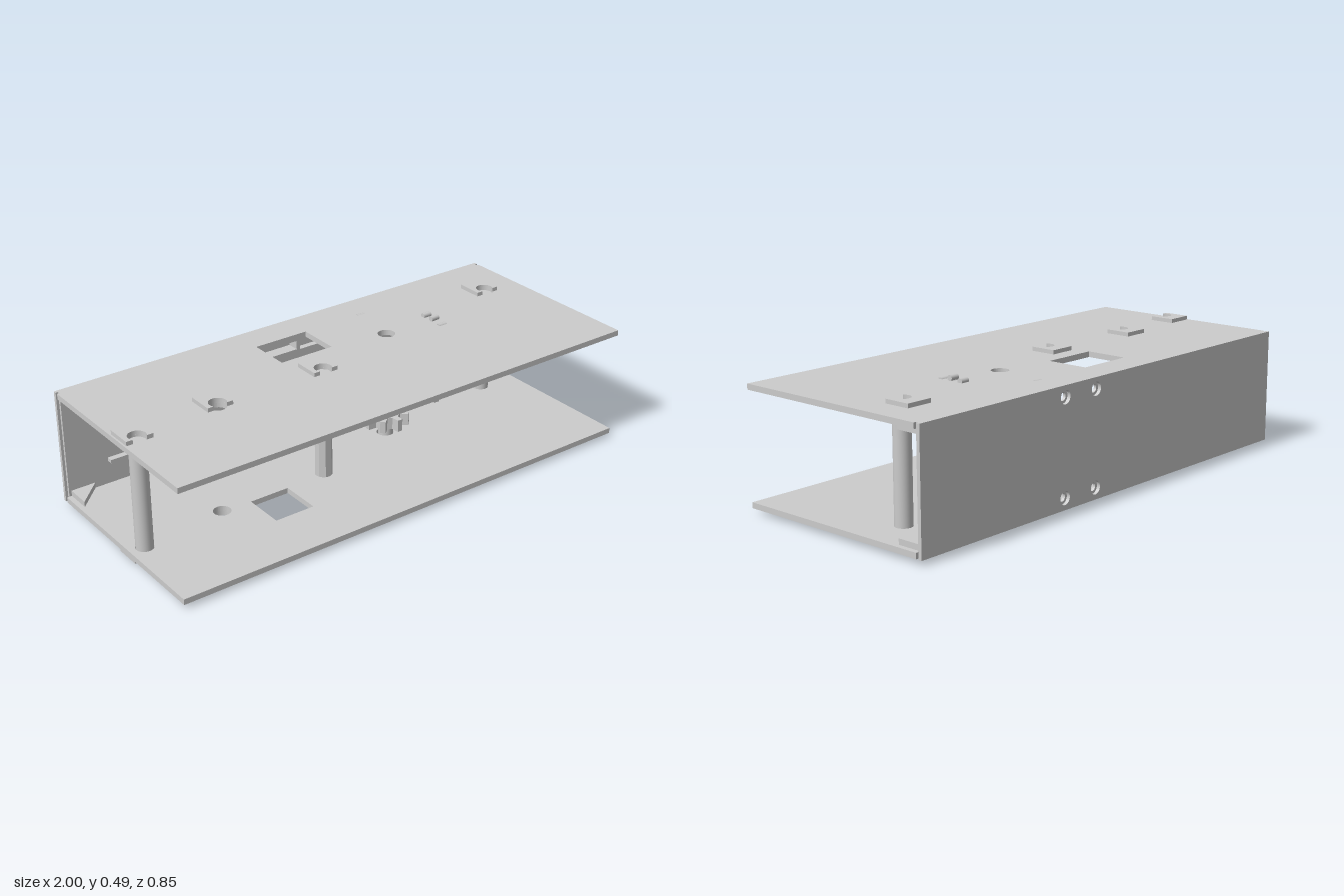
import * as THREE from 'three';

const mat = new THREE.MeshStandardMaterial({ color: 0xcccccc });

function add(parent, name, geo, x = 0, y = 0, z = 0) {
  const m = new THREE.Mesh(geo, mat);
  m.name = name;
  m.position.set(x, y, z);
  parent.add(m);
  return m;
}

// box given by its two extreme corners
function slab(parent, name, x0, x1, y0, y1, z0, z1) {
  return add(parent, name, new THREE.BoxGeometry(x1 - x0, y1 - y0, z1 - z0),
    (x0 + x1) / 2, (y0 + y1) / 2, (z0 + z1) / 2);
}

// smooth rod between two values on one axis
function rod(parent, name, axis, r, a, b, x, y, z, sides = 28) {
  const g = new THREE.CylinderGeometry(r, r, b - a, sides);
  if (axis === 'x') g.rotateZ(Math.PI / 2);
  if (axis === 'z') g.rotateX(Math.PI / 2);
  const m = add(parent, name, g, x, y, z);
  m.position[axis] = (a + b) / 2;
  return m;
}

const rect = (C, x0, x1, y0, y1) => {
  const s = new C();
  s.moveTo(x0, y0); s.lineTo(x1, y0); s.lineTo(x1, y1); s.lineTo(x0, y1); s.closePath();
  return s;
};
const circle = (x, y, r) => new THREE.Path().absarc(x, y, r, 0, Math.PI * 2, true);
const extrude = (shape, depth) =>
  new THREE.ExtrudeGeometry(shape, { depth, bevelEnabled: false, curveSegments: 20 });
// extrusion of an (x, z) outline lying flat, from y = 0 down to -depth
const flat = (shape, depth) => extrude(shape, depth).rotateX(Math.PI / 2);

// toothed wheel outline with a bore; land is the tip width as a share of the pitch
function gearShape(teeth, root, tip, land, bore) {
  const s = new THREE.Shape(), p = Math.PI * 2 / teeth, pts = [];
  for (let i = 0; i < teeth; i++) {
    for (const [f, r] of [[-0.28, root], [-land / 2, tip], [land / 2, tip], [0.28, root]]) {
      const a = (i + f) * p;
      pts.push(new THREE.Vector2(Math.cos(a) * r, Math.sin(a) * r));
    }
  }
  s.setFromPoints(pts);
  if (bore) s.holes.push(circle(0, 0, bore));
  return s;
}

// wheel turning about x with a ring of rollers seated between its teeth
function sprocket(parent, name, teeth, r, bore, width, x, y, z) {
  const g = new THREE.Group();
  g.name = name;
  g.position.set(x, y, z);
  const wheel = extrude(gearShape(teeth, r * 0.84, r * 0.98, 0.08, bore), width * 0.6);
  add(g, 'wheel', wheel.translate(0, 0, -width * 0.3).rotateY(Math.PI / 2));
  for (let i = 0; i < teeth; i++) {
    const a = (i + 0.5) * Math.PI * 2 / teeth;
    rod(g, 'roller', 'x', 0.011, -width / 2, width / 2, 0, Math.sin(a) * r, Math.cos(a) * r, 12);
  }
  parent.add(g);
}

export function createModel() {
  const root = new THREE.Group();
  root.name = 'gearboxFrame';

  const posts = [[-0.94, 0.065], [-0.59, 0.025], [-0.13, 0.025], [0.83, -0.17]];

  // top and bottom plates with post holes, shaft hole and window
  const plate = (name, top, window) => {
    const s = rect(THREE.Shape, -1, 1, -0.4, 0.425);
    for (const [x, z] of posts) s.holes.push(circle(x, z, 0.034));
    s.holes.push(circle(0.26, -0.093, 0.034), rect(THREE.Path, ...window));
    add(root, name, flat(s, 0.022), 0, top, 0);
  };
  plate('topPlate', 0.473, [-0.21, 0.02, -0.295, -0.125]);
  plate('bottomPlate', 0.04, [-0.47, -0.305, 0.035, 0.2]);

  // back plate in two layers, making counterbored screw holes
  const back = (name, r, z, depth, w) => {
    const s = rect(THREE.Shape, -w, w, 0.018, 0.473);
    for (const x of [0.115, 0.285]) for (const y of [0.063, 0.43]) s.holes.push(circle(x, y, r));
    add(root, name, extrude(s, depth), 0, 0, z);
  };
  back('backPlateOuter', 0.026, -0.425, 0.014, 1);
  back('backPlateInner', 0.016, -0.411, 0.011, 0.99);

  // notched retaining clips above and below each post position
  const clip = new THREE.Shape();
  clip.moveTo(-0.053, -0.085);
  clip.lineTo(0.053, -0.085);
  clip.lineTo(0.053, 0.02);
  clip.absarc(0, 0, 0.034, 0.63, Math.PI - 0.63, true);
  clip.lineTo(-0.053, 0.02);
  clip.closePath();
  for (const [x, z] of posts) {
    add(root, 'topClip', flat(clip, 0.016), x, 0.489, z);
    add(root, 'bottomClip', flat(clip, 0.018), x, 0.018, z);
  }

  // posts: two round, one octagonal
  rod(root, 'roundPost', 'y', 0.033, 0.025, 0.466, -0.94, 0, 0.065);
  rod(root, 'roundPost', 'y', 0.033, 0.025, 0.466, 0.83, 0, -0.17);
  const oct = new THREE.CylinderGeometry(0.034, 0.034, 0.441, 8).toNonIndexed();
  oct.computeVertexNormals();
  add(root, 'octagonalPost', oct, -0.13, 0.2455, 0.025).rotation.y = Math.PI / 8;
  slab(root, 'squarePost', 0.573, 0.6, 0.04, 0.452, -0.21, -0.165);

  // triangular gussets in the four back corners
  for (const s of [-1, 1]) {
    const t = new THREE.Shape();
    t.moveTo(s * 0.98, -0.4);
    t.lineTo(s * 0.88, -0.4);
    t.lineTo(s * 0.98, -0.3);
    t.closePath();
    for (const y of [0.062, 0.452]) add(root, 'cornerGusset', flat(t, 0.022), 0, y, 0);
  }

  // rails and hollow blocks on the back plate
  for (const y of [0.142, 0.352]) {
    slab(root, 'backRail', -0.82, 0.71, y - 0.007, y + 0.007, -0.4, -0.375);
  }
  for (const y of [0.1, 0.395]) {
    const s = rect(THREE.Shape, -0.3, 0.03, y - 0.03, y + 0.03);
    s.holes.push(rect(THREE.Path, -0.285, 0.015, y - 0.018, y + 0.018));
    add(root, 'hollowBlock', extrude(s, 0.05), 0, 0, -0.4);
  }
  slab(root, 'railStop', 0.4, 0.435, 0.145, 0.167, -0.4, -0.37);

  // stub axles standing out of the back plate
  rod(root, 'lowerAxle', 'z', 0.03, -0.4, -0.22, 0.585, 0.15, 0);
  rod(root, 'upperAxle', 'z', 0.03, -0.4, -0.23, 0.585, 0.34, 0);
  rod(root, 'axleFlange', 'z', 0.045, -0.236, -0.211, 0.585, 0.34, 0);

  // upright shaft with pinion and crown wheel
  rod(root, 'uprightShaft', 'y', 0.03, 0.012, 0.33, 0.26, 0, -0.09);
  add(root, 'pinion', flat(gearShape(8, 0.06, 0.092, 0.3, 0), 0.05), 0.26, 0.133, -0.09);
  const crown = new THREE.Group();
  crown.name = 'crownWheel';
  crown.position.set(0.26, 0.31, -0.09);
  add(crown, 'crownDisc', new THREE.CylinderGeometry(0.085, 0.105, 0.025, 36), 0, 0.0125, 0);
  for (let i = 0; i < 16; i++) {
    const a = i * Math.PI / 8;
    const t = add(crown, 'crownTooth', new THREE.BoxGeometry(0.04, 0.024, 0.016),
      Math.cos(a) * 0.088, 0.028, -Math.sin(a) * 0.088);
    t.rotation.set(0, a, -0.7);
  }
  root.add(crown);

  // cross shaft, hub and the two sprockets
  rod(root, 'crossShaft', 'x', 0.018, 0.3, 0.505, 0, 0.365, -0.09);
  rod(root, 'sprocketHub', 'x', 0.034, 0.468, 0.5, 0, 0.365, -0.09);
  sprocket(root, 'outerSprocket', 15, 0.119, 0, 0.036, 0.487, 0.365, -0.09);
  sprocket(root, 'innerSprocket', 14, 0.098, 0.033, 0.036, 0.29, 0.366, -0.298);

  return root;
}
